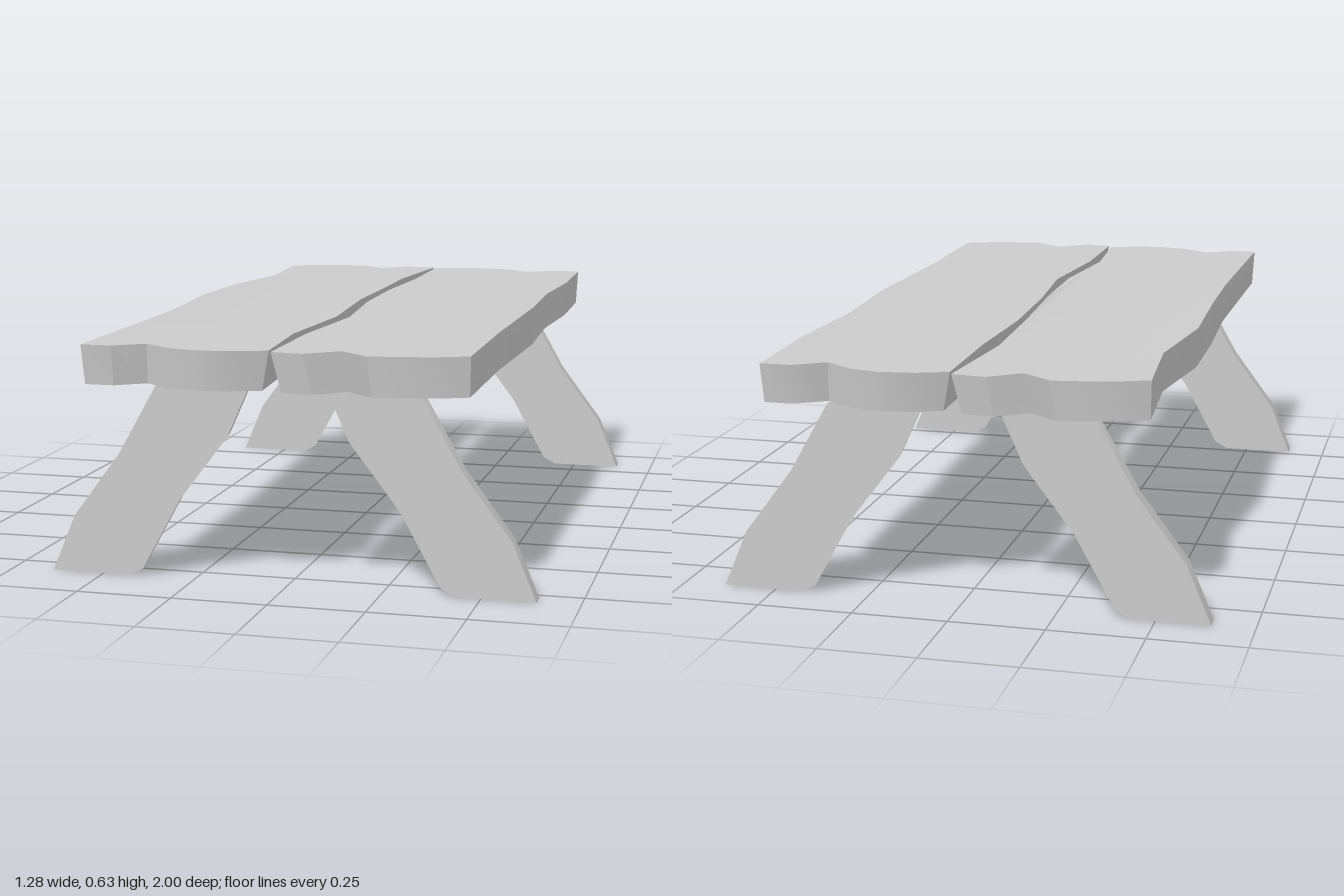
import * as THREE from 'three';
import { toCreasedNormals } from 'three/addons/utils/BufferGeometryUtils.js';

const wood = new THREE.MeshStandardMaterial({ color: 0xcccccc });

// Extrudes an outline by depth, then moves each vertex by a rule
function slab(points, depth, rule) {
  const shape = new THREE.Shape(points.map(([x, y]) => new THREE.Vector2(x, y)));
  const geo = new THREE.ExtrudeGeometry(shape, { depth, bevelEnabled: false });
  const pos = geo.attributes.position;
  const v = new THREE.Vector3();
  for (let i = 0; i < pos.count; i++) {
    rule(v.fromBufferAttribute(pos, i));
    pos.setXYZ(i, v.x, v.y, v.z);
  }
  return geo;
}

// Plank from an (x, z) outline: narrower underneath, slightly thicker at mid length
function plank(name, outline, side, bulge) {
  const geo = slab(outline.map(([x, z]) => [x, -z]), 1, (v) => {
    const top = v.z > 0.5;
    const swell = bulge * Math.max(0, 1 - Math.abs(v.y) / 0.45);
    if (!top) {
      const inner = 1 - Math.min(1, Math.abs(v.x) / 0.49);
      v.x += side * (0.022 * inner - 0.004 * (1 - inner));
      v.y *= 0.984;
    }
    v.z = top ? 0.625 + swell : 0.523 - swell;
  });
  geo.rotateX(-Math.PI / 2);
  const mesh = new THREE.Mesh(toCreasedNormals(geo, 0.6), wood);
  mesh.name = name;
  return mesh;
}

// Wavy splayed leg, with its inner edge flared towards one face
function legGeometry() {
  const inner = [[0.088, 0.53], [0.155, 0.38], [0.285, 0.21], [0.39, 0.02], [0.428, 0]];
  const outer = [[0.64, 0], [0.577, 0.15], [0.45, 0.32], [0.345, 0.505], [0.31, 0.53]];
  const thickness = 0.045;
  const geo = slab([...inner, ...outer], thickness, (v) => {
    const isInner = inner.some(([x, y]) => Math.abs(x - v.x) < 1e-4 && Math.abs(y - v.y) < 1e-4);
    if (isInner && v.z > thickness / 2) v.x += 0.008;
    v.z -= thickness / 2;
  });
  return toCreasedNormals(geo, 0.45);
}

export function createModel() {
  const model = new THREE.Group();
  model.name = 'plankTable';

  // Two rough-cut planks with notched ends
  model.add(plank('rightPlank', [
    [-0.485, 0.97], [-0.405, 0.97], [-0.33, 0.92], [-0.25, 0.975], [-0.17, 0.995], [-0.09, 0.985], [-0.003, 0.955],
    [-0.027, 0.66], [0, 0.33], [-0.016, 0], [-0.03, -0.32], [-0.04, -0.64], [-0.012, -0.98],
    [-0.1, -0.99], [-0.18, -0.93], [-0.26, -0.99], [-0.345, -0.978], [-0.42, -0.96], [-0.493, -0.93],
    [-0.467, -0.63], [-0.505, -0.32], [-0.495, 0], [-0.482, 0.33], [-0.484, 0.66],
  ], -1, 0.01));
  model.add(plank('leftPlank', [
    [0.008, 0.975], [0.09, 0.985], [0.17, 0.92], [0.25, 0.985], [0.335, 0.975], [0.41, 0.96], [0.49, 0.925],
    [0.483, 0.5], [0.49, 0], [0.475, -0.33], [0.49, -0.65], [0.48, -0.98],
    [0.4, -0.98], [0.32, -0.93], [0.24, -0.985], [0.165, -1], [0.08, -0.99], [-0.003, -0.96],
    [0.003, -0.64], [-0.008, -0.32], [0.003, 0], [0.033, 0.32], [0.005, 0.66],
  ], 1, 0.003));

  // Four splayed legs; those on the right are turned half round
  const geo = legGeometry();
  for (const [end, z] of [['front', 0.797], ['back', -0.853]]) {
    for (const [side, turn] of [['Left', 0], ['Right', Math.PI]]) {
      const leg = new THREE.Mesh(geo, wood);
      leg.name = `${end}${side}Leg`;
      leg.rotation.y = turn;
      leg.position.z = z;
      model.add(leg);
    }
  }
  return model;
}
